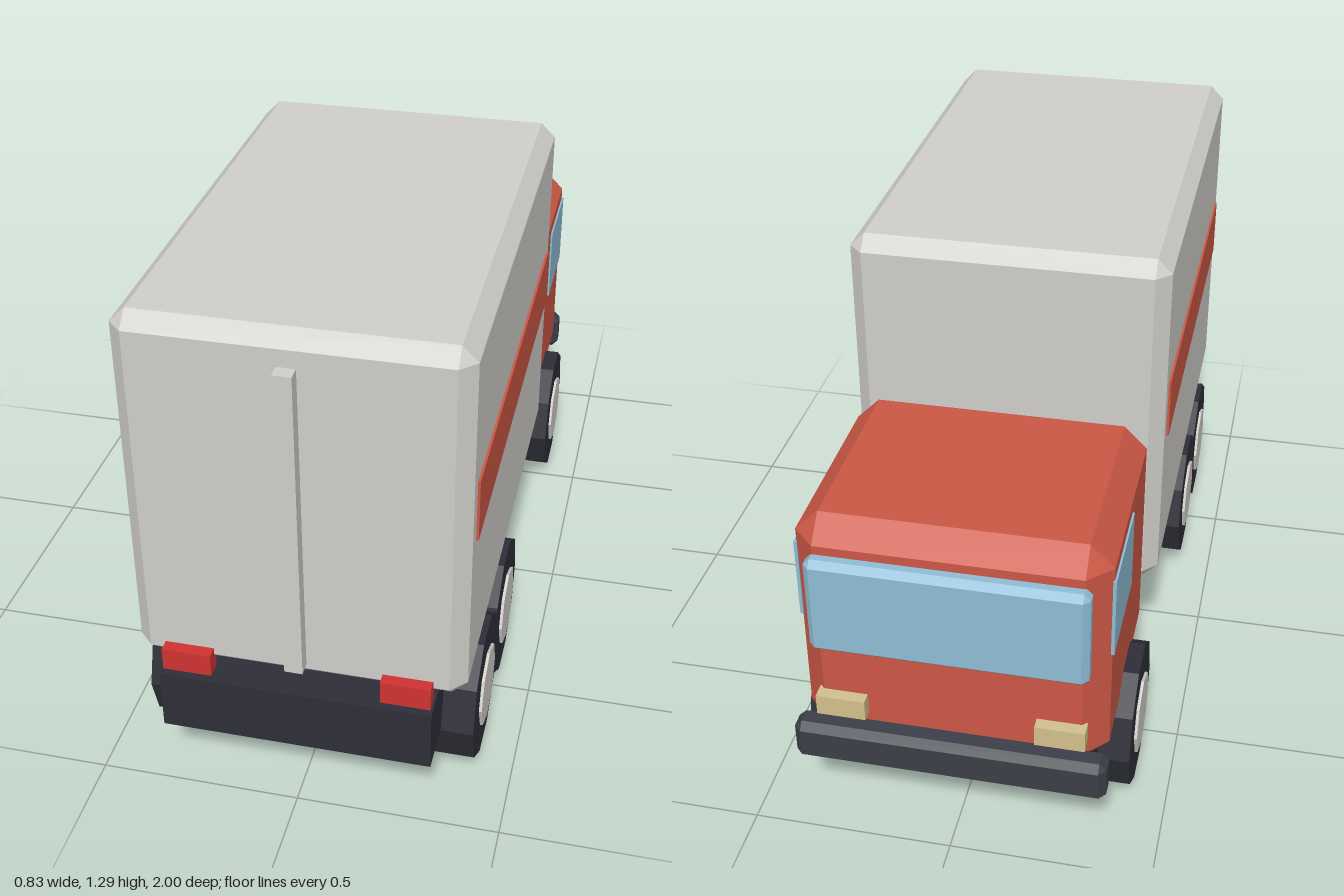
import * as THREE from 'three';
import { ConvexGeometry } from 'three/addons/geometries/ConvexGeometry.js';

const paint = (name, color) => {
  const m = new THREE.MeshStandardMaterial({ color });
  m.name = name;
  return m;
};

// Box from min/max corners, optionally with all edges chamfered by c
function blockGeometry([x0, y0, z0], [x1, y1, z1], c = 0) {
  const size = [x1 - x0, y1 - y0, z1 - z0];
  const mid = [(x0 + x1) / 2, (y0 + y1) / 2, (z0 + z1) / 2];
  if (!c) return new THREE.BoxGeometry(...size).translate(...mid);
  const points = [];
  for (const sx of [-1, 1]) for (const sy of [-1, 1]) for (const sz of [-1, 1]) {
    const s = [sx, sy, sz];
    // each corner becomes three points, one on each adjoining face
    for (let face = 0; face < 3; face++) {
      points.push(new THREE.Vector3(...s.map((v, i) =>
        mid[i] + v * (size[i] / 2 - (i === face ? 0 : c)))));
    }
  }
  return new ConvexGeometry(points);
}

export function createModel() {
  const truck = new THREE.Group();
  truck.name = 'boxTruck';

  const grey = paint('cargo grey', 0xd0cec9);
  const red = paint('cab red', 0xcb5745);
  const dark = paint('chassis dark', 0x2e2e38);
  const steel = paint('bumper grey', 0x3b3f47);
  const glass = paint('window blue', 0x8fbcd4);
  const lamp = paint('headlight cream', 0xd2c08c);
  const tail = paint('tail light red', 0xd03232);

  const add = (name, geometry, material, parent = truck) => {
    const mesh = new THREE.Mesh(geometry, material);
    mesh.name = name;
    parent.add(mesh);
    return mesh;
  };
  const block = (name, lo, hi, material, c) => add(name, blockGeometry(lo, hi, c), material);

  // Main bodies, with the cab towards -z
  block('chassis', [-0.33, 0.18, -0.92], [0.33, 0.34, 1], dark);
  block('cargoBox', [-0.4, 0.35, -0.315], [0.4, 1.29, 0.955], grey, 0.037);
  block('cab', [-0.37, 0.255, -0.94], [0.37, 0.885, -0.335], red, 0.057);
  block('windshield', [-0.33, 0.545, -0.975], [0.33, 0.805, -0.92], glass, 0.016);
  block('bumper', [-0.38, 0.22, -1], [0.38, 0.33, -0.927], steel, 0.018);
  block('rearDoorBar', [-0.022, 0.4, 0.95], [0.022, 1.21, 0.99], grey);

  // Wheels
  const tyre = new THREE.CylinderGeometry(0.185, 0.185, 0.145, 10).rotateZ(Math.PI / 2).toNonIndexed();
  const hub = new THREE.CylinderGeometry(0.102, 0.102, 0.16, 8).rotateZ(Math.PI / 2).toNonIndexed();
  tyre.computeVertexNormals();
  hub.computeVertexNormals();

  for (const s of [-1, 1]) {
    const side = s > 0 ? 'left' : 'right';
    // Block spanning a to b outwards from the centre line on this side
    const pair = (name, a, b, y0, y1, z0, z1, material) =>
      block(side + name, [Math.min(s * a, s * b), y0, z0], [Math.max(s * a, s * b), y1, z1], material);

    pair('Stripe', 0.398, 0.406, 0.77, 0.93, -0.235, 0.877, red);
    pair('SideWindow', 0.367, 0.375, 0.585, 0.795, -0.89, -0.62, glass);
    pair('Headlight', 0.205, 0.325, 0.35, 0.405, -0.97, -0.93, lamp);
    pair('TailLight', 0.205, 0.325, 0.345, 0.405, 0.945, 0.985, tail);

    [['Front', -0.622], ['Middle', 0.375], ['Rear', 0.688]].forEach(([place, z]) => {
      const wheel = new THREE.Group();
      wheel.name = side + place + 'Wheel';
      wheel.position.set(s * 0.3375, 0.176, z);
      add('tyre', tyre, dark, wheel);
      add('hub', hub, grey, wheel);
      truck.add(wheel);
    });
  }
  return truck;
}
